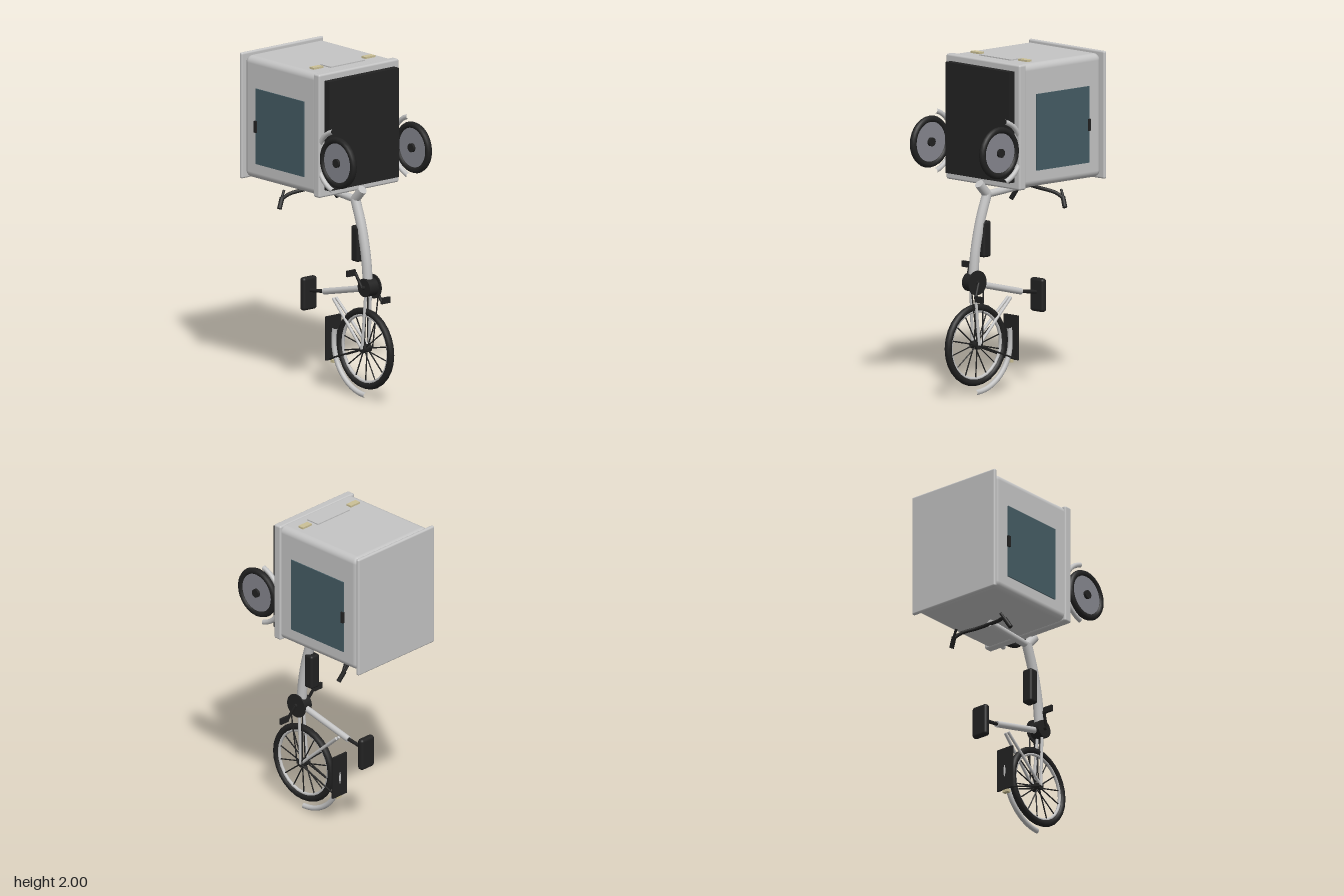
import * as THREE from 'three';
import { RoundedBoxGeometry } from 'three/addons/geometries/RoundedBoxGeometry.js';

const material = (name, color) => {
  const m = new THREE.MeshStandardMaterial({ color });
  m.name = name;
  return m;
};
const V = (p) => new THREE.Vector3(...p);

export function createModel() {
  const silver = material('silver paint', 0xc4c4c4);
  const black = material('black rubber', 0x222222);
  const glass = material('tinted glass', 0x455c64);
  const amber = material('lamp cream', 0xcbc096);
  const disc = material('wheel disc grey', 0x85868e);
  const root = new THREE.Group();
  root.name = 'cargoTrike';

  const add = (name, geo, mat, pos = [0, 0, 0], parent = root) => {
    const m = new THREE.Mesh(geo, mat);
    m.name = name;
    m.position.set(...pos);
    parent.add(m);
    return m;
  };
  const box = (name, mat, pos, size, radius = 0) =>
    add(name, radius ? new RoundedBoxGeometry(...size, 4, radius) : new THREE.BoxGeometry(...size), mat, pos);
  const rod = (name, mat, a, b, r, parent = root, sides = 14) => {
    const d = V(b).sub(V(a));
    const m = add(name, new THREE.CylinderGeometry(r, r, d.length(), sides), mat, [0, 0, 0], parent);
    m.position.copy(V(a).add(V(b)).multiplyScalar(0.5));
    m.quaternion.setFromUnitVectors(new THREE.Vector3(0, 1, 0), d.normalize());
    return m;
  };
  const tube = (name, mat, pts, r) =>
    add(name, new THREE.TubeGeometry(new THREE.CatmullRomCurve3(pts.map(V)), 24, r, 12), mat);
  // Rings and arcs lying in the side plane; angle 0 points to the back
  const ring = (name, mat, R, r, parent, start = 0, arc = Math.PI * 2, sides = 8, segs = 28) =>
    add(name, new THREE.TorusGeometry(R, r, sides, segs, arc).rotateZ(start).rotateY(Math.PI / 2), mat, [0, 0, 0], parent);
  const axle = (name, mat, r, w, parent, pos = [0, 0, 0]) =>
    add(name, new THREE.CylinderGeometry(r, r, w, 28).rotateZ(Math.PI / 2), mat, pos, parent);
  const group = (name, pos) => {
    const g = new THREE.Group();
    g.name = name;
    g.position.set(...pos);
    root.add(g);
    return g;
  };
  const rad = THREE.MathUtils.degToRad;

  // Cargo box
  box('cargoBody', silver, [0, 1.62, -0.15], [0.61, 0.735, 0.66], 0.04);
  box('cargoRim', silver, [0, 1.618, 0.173], [0.624, 0.745, 0.055], 0.012);
  box('cargoLid', silver, [0, 1.62, -0.492], [0.64, 0.76, 0.024], 0.011);
  box('basePlate', black, [0, 1.62, 0.222], [0.54, 0.66, 0.045]);
  box('numberPlate', silver, [0, 1.99, 0.055], [0.27, 0.009, 0.09]);
  for (const s of [-1, 1]) {
    box('lamp', amber, [s * 0.202, 1.99, 0.051], [0.075, 0.018, 0.038]);
    box('sideWindow', glass, [s * 0.307, 1.577, -0.155], [0.009, 0.455, 0.43]);
    box('doorHandle', black, [s * 0.313, 1.575, -0.365], [0.014, 0.07, 0.018]);

    // Cargo wheels
    const w = group('cargoWheel', [s * 0.293, 1.485, 0.35]);
    ring('tyre', black, 0.135, 0.02, w);
    axle('wheelDisc', disc, 0.124, 0.016, w);
    axle('hub', black, 0.026, 0.048, w);
    ring('fender', silver, 0.185, 0.015, w, rad(-75), rad(150), 10, 20);
  }

  // Spoked drive wheel
  const wheel = group('driveWheel', [0, 0.3, 0.258]);
  ring('tyre', black, 0.224, 0.021, wheel);
  ring('rim', silver, 0.202, 0.01, wheel);
  axle('hub', black, 0.024, 0.06, wheel);
  for (let i = 0; i < 14; i++) {
    const a = (i / 14) * Math.PI * 2;
    rod('spoke', black, [i % 2 ? 0.012 : -0.012, 0, 0], [0, 0.2 * Math.cos(a), 0.2 * Math.sin(a)], 0.004, wheel, 6);
  }
  ring('fender', silver, 0.284, 0.016, wheel, rad(-90), rad(105), 10, 24);
  box('mudFlap', black, [0, 0.315, -0.033], [0.118, 0.265, 0.012]);
  box('tailLamp', amber, [0, 0.175, -0.02], [0.04, 0.018, 0.025]);
  for (const s of [-1, 1]) {
    rod('fenderStrut', black, [s * 0.03, 0.3, 0.258], [s * 0.03, 0.19, -0.033], 0.005);
    rod('chainStay', silver, [s * 0.028, 0.3, 0.258], [s * 0.018, 0.64, 0.28], 0.009);
    rod('seatStay', silver, [s * 0.028, 0.3, 0.258], [s * 0.012, 0.555, -0.018], 0.009);
  }

  // Frame, saddle and battery
  tube('mainTube', silver, [[0, 0.67, 0.28], [0, 0.85, 0.262], [0, 1.03, 0.222], [0, 1.19, 0.165]], 0.03);
  rod('headTube', silver, [0, 1.18, 0.16], [0, 1.255, 0.23], 0.028);
  rod('seatTube', silver, [0, 0.67, 0.28], [0, 0.577, -0.11], 0.019);
  rod('seatPost', black, [0, 0.579, -0.1], [0, 0.56, -0.24], 0.011);
  box('saddle', black, [0, 0.542, -0.252], [0.11, 0.2, 0.042], 0.018);
  box('battery', black, [0, 0.925, 0.193], [0.07, 0.215, 0.065], 0.015);

  // Drive unit, chain, cranks and pedals
  const drive = group('driveUnit', [0, 0.675, 0.282]);
  axle('motor', black, 0.055, 0.07, drive);
  axle('chainring', black, 0.073, 0.008, drive, [0.038, 0, 0]);
  for (const z of [-0.02, 0.02]) rod('chain', black, [0.036, 0.3, 0.258 + z], [0.038, 0.66, 0.282 + z * 2.5], 0.004);
  for (const s of [-1, 1]) {
    const y = 0.677 - s * 0.09, z = 0.282 + s * 0.042;
    rod('crank', black, [s * 0.05, 0.677, 0.282], [s * 0.066, y, z], 0.009);
    box('pedal', black, [s * 0.098, y, z], [0.066, 0.036, 0.016]);
  }
  rod('crankAxle', black, [-0.055, 0.677, 0.282], [0.055, 0.677, 0.282], 0.012);

  // Steering
  rod('stem', silver, [0, 1.185, 0.17], [0, 1.21, -0.17], 0.022);
  tube('handlebar', black, [
    [-0.205, 1.135, -0.265], [-0.16, 1.168, -0.24], [-0.08, 1.192, -0.19], [0, 1.205, -0.168],
    [0.08, 1.192, -0.19], [0.16, 1.168, -0.24], [0.205, 1.135, -0.265],
  ], 0.011);
  for (const s of [-1, 1]) {
    rod('grip', black, [s * 0.195, 1.145, -0.265], [s * 0.228, 1.087, -0.25], 0.014);
    rod('brakeLever', black, [s * 0.17, 1.185, -0.275], [s * 0.215, 1.115, -0.26], 0.008);
  }
  return root;
}
